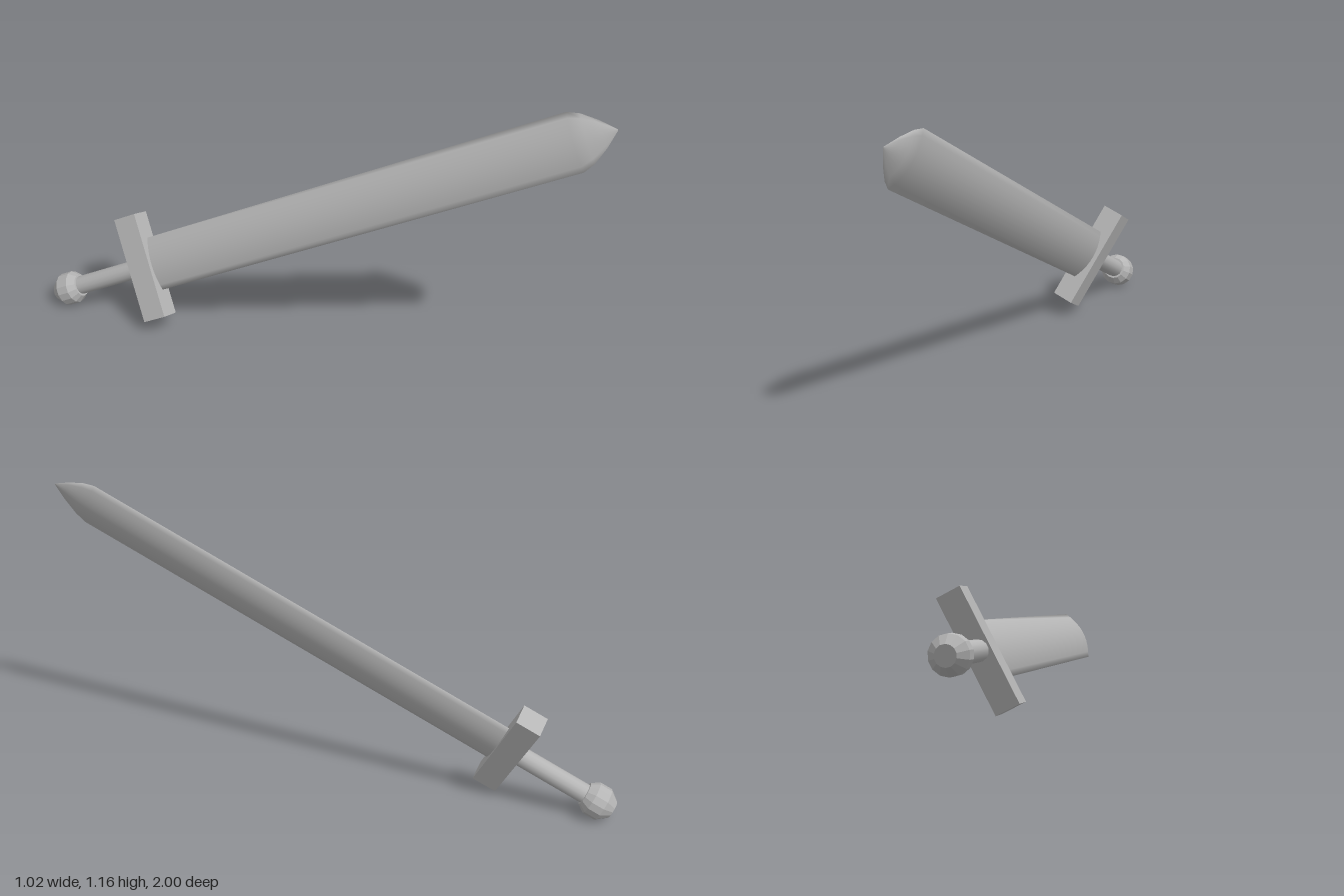
import * as THREE from 'three';

const SIDES = 14;
const steel = new THREE.MeshStandardMaterial({ color: 0xb5b5b5 });
steel.name = 'steel grey';

// Faceted shading baked into the normals
function faceted(geometry) {
  const g = geometry.index ? geometry.toNonIndexed() : geometry;
  g.computeVertexNormals();
  return g;
}

// Blade: lens-shaped cross-sections [height, scale] stacked along y
function bladeGeometry(halfWidth, halfThick, sections) {
  const n = 10, ring = 2 * n, pos = [], index = [];
  for (const [y, s] of sections) {
    for (let i = 0; i < ring; i++) {
      const side = i < n ? 1 : -1;
      const u = side * (1 - 2 * (i % n) / n);
      pos.push(side * halfThick * (1 - u * u) * s, y, halfWidth * u * s);
    }
  }
  for (let k = 0; k < sections.length - 1; k++) {
    for (let i = 0; i < ring; i++) {
      const a = k * ring + i, b = k * ring + (i + 1) % ring;
      index.push(a, b, b + ring, a, b + ring, a + ring);
    }
  }
  const g = new THREE.BufferGeometry();
  g.setAttribute('position', new THREE.Float32BufferAttribute(pos, 3));
  g.setIndex(index);
  g.computeVertexNormals();
  return g;
}

export function createModel() {
  const model = new THREE.Group();
  model.name = 'sword';

  // Built upright around the guard centre: y along the blade, z across its width
  const sword = new THREE.Group();
  sword.name = 'swordParts';
  model.add(sword);
  const add = (name, geometry) => {
    const mesh = new THREE.Mesh(geometry, steel);
    mesh.name = name;
    sword.add(mesh);
    return mesh;
  };

  add('blade', bladeGeometry(0.11, 0.027, [
    [0, 1], [1.855, 1], [1.9, 0.83], [1.957, 0.46], [2.01, 0.02],
  ]));

  add('guard', new THREE.BoxGeometry(0.09, 0.1, 0.432));

  const grip = add('grip', new THREE.CylinderGeometry(0.038, 0.038, 0.36, SIDES));
  grip.position.y = -0.18;

  // Pommel: chamfered drum
  const profile = [[0, -0.45], [0.036, -0.45], [0.067, -0.41], [0.067, -0.36], [0.046, -0.33], [0.03, -0.33]]
    .map(([r, y]) => new THREE.Vector2(r, y));
  add('pommel', faceted(new THREE.LatheGeometry(profile, SIDES)));

  // Tilt the sword so the blade points forward, up and to the left
  const along = new THREE.Vector3(0.398, 0.442, 0.804).normalize();
  const thick = along.clone().cross(new THREE.Vector3(0.15, 0.833, -0.532)).normalize();
  const across = thick.clone().cross(along);
  sword.quaternion.setFromRotationMatrix(new THREE.Matrix4().makeBasis(thick, along, across));
  sword.position.set(-0.2875, 0.243, -0.617);

  return model;
}
